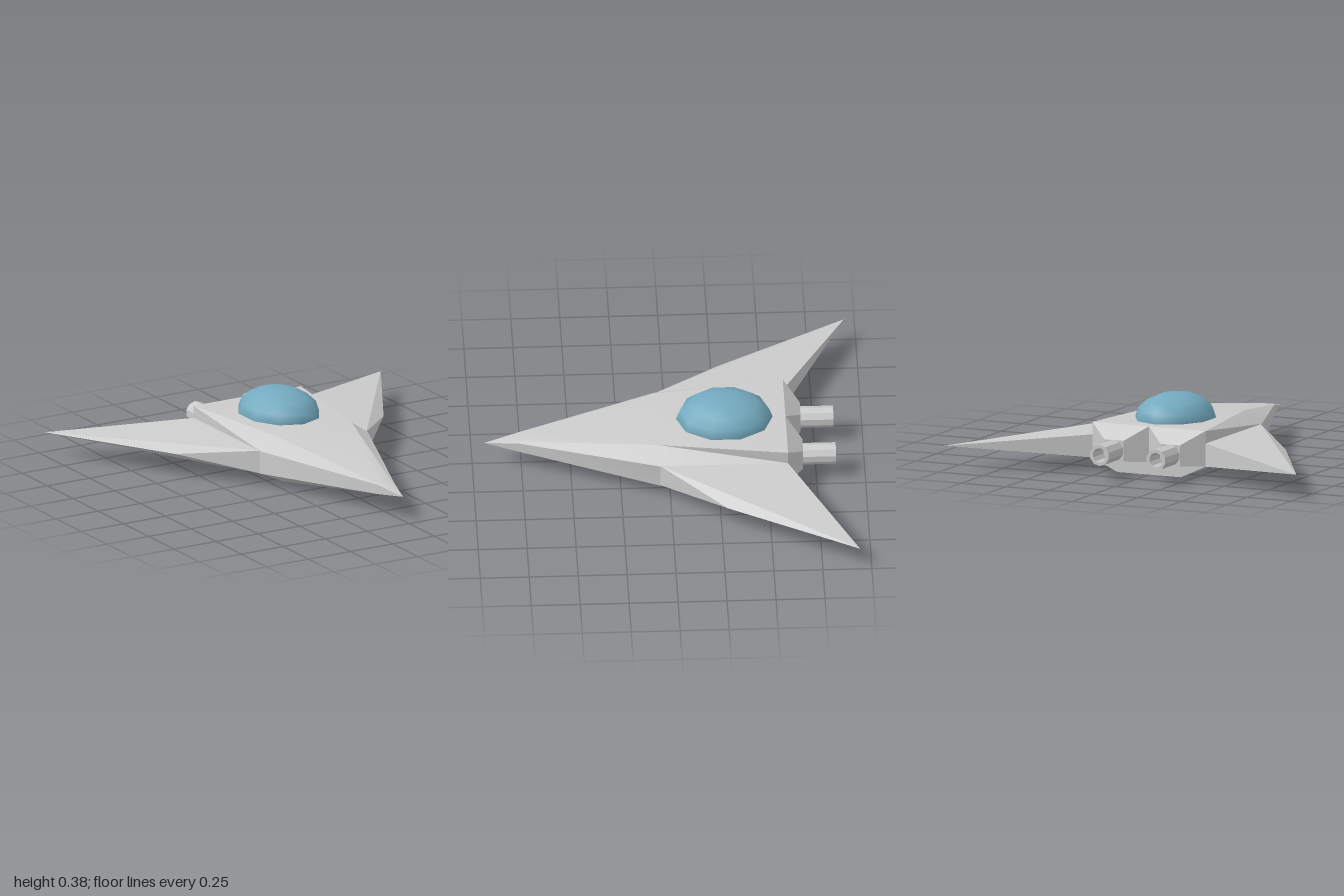
import * as THREE from 'three';
import { toCreasedNormals } from 'three/addons/utils/BufferGeometryUtils.js';

const grey = new THREE.MeshStandardMaterial({ color: 0xcccccc });
const greyFlat = new THREE.MeshStandardMaterial({ color: 0xcccccc, flatShading: true });
const glass = new THREE.MeshStandardMaterial({ color: 0x74aabf });

function fromTriangles(tris) {
  const g = new THREE.BufferGeometry();
  g.setAttribute('position', new THREE.Float32BufferAttribute(tris.flat(2), 3));
  return toCreasedNormals(g, 0.45);
}

// Joins rings (clockwise seen from the front, ordered front to back) and caps the back
function loft(rings) {
  const tris = [];
  const n = rings[0].length;
  for (let i = 0; i < rings.length - 1; i++) {
    const [f, b] = [rings[i], rings[i + 1]];
    for (let j = 0; j < n; j++) {
      const k = (j + 1) % n;
      if (f[j].join() !== f[k].join()) tris.push([f[j], f[k], b[k]]);
      tris.push([f[j], b[k], b[j]]);
    }
  }
  const last = rings[rings.length - 1];
  for (let j = 1; j < n - 1; j++) tris.push([last[0], last[j], last[j + 1]]);
  return fromTriangles(tris);
}

// Full ring from the points of its +x half, listed top to bottom
function ring(z, half) {
  const right = half.map(([x, y]) => [x, y, z]);
  const left = half.map(([x, y]) => [-x, y, z]).reverse();
  return [...right, ...left];
}

function wingGeometry(side) {
  const rootTopFront = [0.32, 0.185, 0.05], rootTopBack = [0.32, 0.185, -0.6];
  const rootLowFront = [0.32, 0.065, 0.05], rootLowBack = [0.32, 0.065, -0.6];
  const bend = [0.62, 0.127, -0.28], tip = [1, 0.127, -0.94];
  const tris = [
    [rootTopFront, bend, tip], [rootTopFront, tip, rootTopBack],
    [rootLowFront, tip, bend], [rootLowFront, rootLowBack, tip],
    [rootTopBack, tip, rootLowBack],
    [rootTopFront, rootLowFront, bend],
  ];
  if (side > 0) return fromTriangles(tris);
  return fromTriangles(tris.map((t) => t.map(([x, y, z]) => [-x, y, z]).reverse()));
}

export function createModel() {
  const model = new THREE.Group();
  const add = (name, geometry, material, x = 0, y = 0, z = 0) => {
    const mesh = new THREE.Mesh(geometry, material);
    mesh.name = name;
    mesh.position.set(x, y, z);
    model.add(mesh);
    return mesh;
  };

  // Hull: each half section runs deck edge, shoulder, chine, belly edge
  add('hull', loft([
    ring(0.94, [[0, 0.127], [0, 0.127], [0, 0.127], [0, 0.127]]),
    ring(0.77, [[0.035, 0.157], [0.047, 0.153], [0.047, 0.103], [0.03, 0.1]]),
    ring(0.06, [[0.225, 0.25], [0.32, 0.185], [0.32, 0.065], [0.18, 0]]),
    ring(-0.6, [[0.32, 0.25], [0.32, 0.185], [0.32, 0.065], [0.18, 0]]),
  ]), grey);

  // Canopy dome
  const dome = new THREE.SphereGeometry(1, 10, 4, Math.PI / 2, Math.PI * 2, 0, Math.PI / 2);
  add('canopy', dome, glass, 0, 0.248, -0.288).scale.set(0.203, 0.133, 0.248);

  // Hollow nozzle, opening to the back
  const nozzle = new THREE.LatheGeometry(
    [[0.055, 0], [0.055, 0.17], [0.038, 0.17], [0.038, 0.05], [0, 0.05]]
      .map(([r, h]) => new THREE.Vector2(r, h)), 10);
  nozzle.rotateX(-Math.PI / 2);

  // Tapered engine mount
  const mount = loft([
    ring(-0.6, [[0.16, 0.25], [0.16, 0.065]]),
    ring(-0.682, [[0.055, 0.18], [0.055, 0.072]]),
  ]);

  for (const side of [1, -1]) {
    const label = side > 0 ? 'left' : 'right';
    add(label + 'Wing', wingGeometry(side), grey);
    add(label + 'EngineMount', mount, grey, side * 0.16);
    add(label + 'Nozzle', nozzle, greyFlat, side * 0.16, 0.126, -0.68);
  }
  return model;
}
